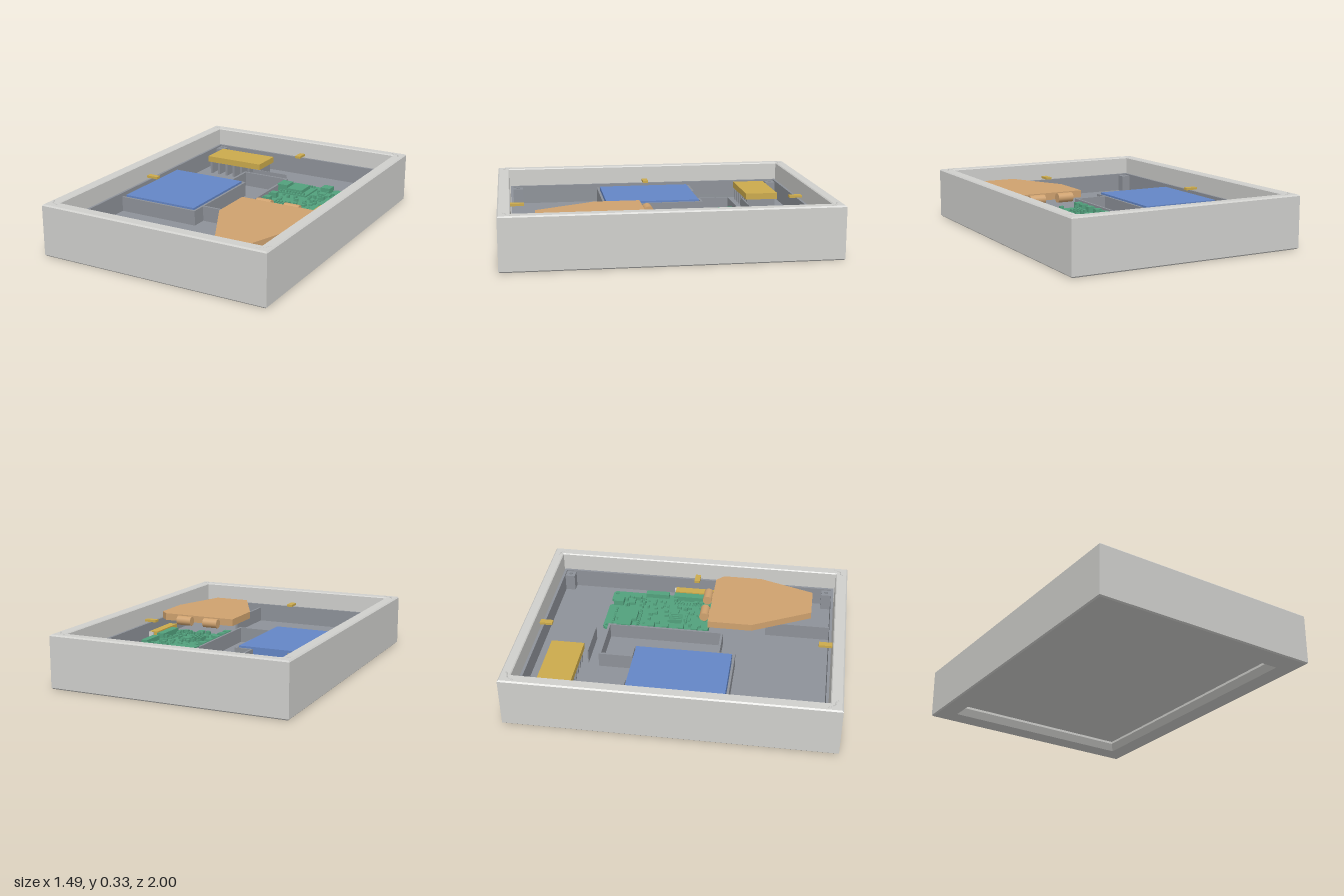
import * as THREE from 'three';

const mat = (name, color) => {
  const m = new THREE.MeshStandardMaterial({ color });
  m.name = name;
  return m;
};

export function createModel() {
  const model = new THREE.Group();
  const frameGrey = mat('frame light grey', 0xd0d0cd);
  const trayGrey = mat('tray grey', 0x8e9299);
  const blue = mat('battery blue', 0x6486c6);
  const yellow = mat('clip yellow', 0xcbaa4c);
  const tan = mat('sensor tan', 0xcfa26f);
  const green = mat('circuit green', 0x52a17d);

  const add = (name, geo, material, parent = model) => {
    const m = new THREE.Mesh(geo, material);
    m.name = name;
    parent.add(m);
    return m;
  };
  // Box given by its limits
  const box = (name, x0, x1, y0, y1, z0, z1, material, parent) =>
    add(name, new THREE.BoxGeometry(x1 - x0, y1 - y0, z1 - z0)
      .translate((x0 + x1) / 2, (y0 + y1) / 2, (z0 + z1) / 2), material, parent);
  // Flat plate from an x/z outline, hanging down from its top
  const plate = (name, pts, top, thick, material, parent, holes = []) => {
    const s = new THREE.Shape(pts.map(([x, z]) => new THREE.Vector2(x, z)));
    for (const [x, z, r] of holes) s.holes.push(new THREE.Path().absarc(x, z, r, 0, Math.PI * 2, true));
    const g = new THREE.ExtrudeGeometry(s, { depth: thick, bevelEnabled: false, curveSegments: 8 });
    return add(name, g.rotateX(Math.PI / 2).translate(0, top, 0), material, parent);
  };
  // Rectangular ring swept from a closed profile of [half width, back z, front z, y]
  const ring = (name, profile, material) => {
    const pos = [];
    const corners = ([w, b, f, y]) => [[-w, y, b], [w, y, b], [w, y, f], [-w, y, f]];
    profile.forEach((p, i) => {
      const a = corners(p), c = corners(profile[(i + 1) % profile.length]);
      for (let k = 0; k < 4; k++) {
        const n = (k + 1) % 4;
        pos.push(...a[k], ...c[k], ...c[n], ...a[k], ...c[n], ...a[n]);
      }
    });
    const g = new THREE.BufferGeometry();
    g.setAttribute('position', new THREE.Float32BufferAttribute(pos, 3));
    g.computeVertexNormals();
    return add(name, g, material);
  };

  // Outer frame with softened edges and an inward lip underneath
  ring('frame', [
    [0.737, -0.992, 0.992, 0], [0.745, -1, 1, 0.008], [0.745, -1, 1, 0.317], [0.737, -0.992, 0.992, 0.325],
    [0.681, -0.941, 0.931, 0.325], [0.675, -0.935, 0.925, 0.319], [0.675, -0.935, 0.925, 0.06],
    [0.6, -0.85, 0.835, 0.06], [0.6, -0.85, 0.835, 0.045], [0.622, -0.872, 0.855, 0],
  ], frameGrey);

  // Small raised curls on the frame corners
  for (const sx of [-1, 1]) for (const sz of [-1, 1]) {
    const curl = new THREE.CatmullRomCurve3([[0.655, 0.97], [0.675, 0.955], [0.7, 0.95], [0.715, 0.925], [0.725, 0.91]]
      .map(([x, z]) => new THREE.Vector3(sx * x, 0.325, sz * z)));
    add('cornerCurl', new THREE.TubeGeometry(curl, 12, 0.004, 5), frameGrey);
  }

  // Display panel seen through the opening, with its connector strip
  box('displayPanel', -0.66, 0.66, 0.06, 0.072, -0.92, 0.91, frameGrey);
  box('displayEdgeStrip', -0.6, -0.565, 0.055, 0.06, -0.85, 0.835, green);

  // Inner tray
  box('trayFloor', -0.668, 0.668, 0.072, 0.09, -0.928, 0.918, trayGrey);
  ring('trayWall', [
    [0.668, -0.928, 0.918, 0.08], [0.668, -0.928, 0.918, 0.21],
    [0.652, -0.912, 0.902, 0.21], [0.652, -0.912, 0.902, 0.08],
  ], trayGrey);
  for (const sx of [-1, 1]) for (const z of [-0.88, 0.87]) {
    const x = sx * 0.625, r = 0.032;
    plate('cornerBoss', [[x - r, z - r], [x + r, z - r], [x + r, z + r], [x - r, z + r]], 0.2, 0.11,
      trayGrey, model, [[x, z, 0.013]]);
  }

  // Thin standing ribs: [x0, z0, x1, z1]
  const ribs = [
    [-0.22, -0.505, 0.095, -0.505], [-0.22, -0.505, -0.22, -0.305], [-0.22, -0.305, -0.118, -0.305],
    [-0.118, -0.305, -0.118, 0.325], [-0.118, 0.225, 0.095, 0.225], [0.095, -0.505, 0.095, 0.225],
    [-0.652, 0.325, -0.118, 0.325], [-0.652, -0.305, -0.46, -0.305],
    [-0.2, -0.585, 0.05, -0.585], [0.25, 0.5, 0.25, 0.902],
  ];
  for (const [x0, z0, x1, z1] of ribs) {
    const t = z0 === -0.585 ? 0.003 : 0.007;
    box('trayRib', x0 - t, x1 + t, 0.085, 0.185, z0 - t, z1 + t, trayGrey);
  }
  for (const z of [-0.19, 0.21]) box('batteryStop', -0.652, -0.636, 0.085, 0.18, z - 0.015, z + 0.015, trayGrey);

  box('battery', -0.635, -0.13, 0.09, 0.195, -0.29, 0.312, blue);

  // Yellow module on a comb of supports
  box('yellowModule', -0.58, -0.17, 0.175, 0.215, -0.82, -0.612, yellow);
  for (let i = 0; i < 7; i++) {
    const x = -0.56 + i * 0.06;
    box('moduleSupport', x - 0.008, x + 0.008, 0.088, 0.176, -0.81, -0.622, trayGrey);
  }

  // Retaining clips at the middle of each side
  for (const z of [-0.897, 0.883]) box('clip', -0.019, 0.019, 0.22, 0.235, z - 0.042, z + 0.042, yellow);
  for (const x of [-0.636, 0.636]) box('clip', x - 0.04, x + 0.04, 0.22, 0.235, -0.018, 0.018, yellow);

  // Circuit board
  const board = new THREE.Group();
  board.name = 'circuitBoard';
  model.add(board);
  plate('boardBase', [[0.11, -0.54], [0.125, -0.555], [0.365, -0.555], [0.375, -0.53], [0.425, -0.53], [0.435, -0.555],
    [0.515, -0.555], [0.53, -0.54], [0.53, 0.13], [0.11, 0.13]], 0.148, 0.018, green, board,
    [[0.138, -0.53, 0.012], [0.503, -0.53, 0.012]]);
  const top = 0.147;
  const part = (name, x0, x1, z0, z1, h) => box(name, x0, x1, top, top + h, z0, z1, green, board);
  part('moduleBase', 0.125, 0.325, -0.505, -0.325, 0.012);
  part('moduleChip', 0.18, 0.285, -0.475, -0.345, 0.035);
  part('usbSocket', 0.095, 0.168, -0.46, -0.37, 0.045);
  part('smallSocket', 0.365, 0.43, -0.53, -0.465, 0.035);
  part('ribbonSocket', 0.483, 0.525, -0.33, -0.175, 0.03);
  part('displaySocket', 0.47, 0.52, -0.14, 0.06, 0.035);
  part('chipA', 0.29, 0.35, -0.13, -0.085, 0.02);
  part('chipB', 0.38, 0.43, -0.43, -0.39, 0.02);
  part('chipC', 0.44, 0.475, -0.4, -0.355, 0.025);
  part('chipD', 0.3, 0.34, 0.07, 0.12, 0.02);
  for (let i = 0; i < 9; i++) {
    const x = 0.143 + i * 0.0205;
    for (const z of [-0.495, -0.335]) part('modulePin', x - 0.005, x + 0.005, z - 0.006, z + 0.006, 0.025);
  }
  for (const z of [-0.24, -0.15, -0.05, 0.04, 0.11]) {
    part('button', 0.118, 0.162, z - 0.02, z + 0.02, 0.035);
    part('buttonTip', 0.105, 0.118, z - 0.01, z + 0.01, 0.025);
  }
  for (let i = 0; i < 4; i++) part('headerPin', 0.21 + i * 0.021, 0.219 + i * 0.021, -0.13, -0.055, 0.03);
  for (let i = 0; i < 10; i++) part('ribbonPin', 0.42, 0.45, -0.13 + i * 0.02, -0.122 + i * 0.02, 0.012);

  // Scattered tiny components
  let seed = 7;
  const rnd = () => (seed = (seed * 16807) % 2147483647) / 2147483647;
  for (let i = 0; i < 65; i++) {
    const x = 0.18 + rnd() * 0.28, z = -0.3 + rnd() * 0.4;
    const w = 0.005 + rnd() * 0.008, d = 0.005 + rnd() * 0.008;
    part('component', x - w, x + w, z - d, z + d, 0.01 + rnd() * 0.016);
  }
  for (let i = 0; i < 18; i++) {
    const x = 0.35 + rnd() * 0.12, z = -0.45 + rnd() * 0.17;
    part('component', x - 0.008, x + 0.008, z - 0.006, z + 0.006, 0.015 + rnd() * 0.012);
  }
  for (const x of [0.138, 0.503]) for (const z of [-0.5, 0.1])
    add('boardStandoff', new THREE.CylinderGeometry(0.016, 0.016, 0.045, 12).translate(x, 0.11, z), trayGrey, board);

  // Yellow edge connector beside the board
  box('edgeConnector', 0.518, 0.572, 0.15, 0.19, -0.135, 0.13, yellow);
  box('connectorTab', 0.545, 0.575, 0.15, 0.185, -0.145, -0.135, frameGrey);

  // Tan plate with two barrels on its back edge
  plate('tanPlate', [[0.11, 0.13], [0.6, 0.13], [0.65, 0.18], [0.65, 0.43], [0.53, 0.78], [0.3, 0.78], [0.11, 0.41]],
    0.255, 0.045, tan);
  for (const x of [0.247, 0.437]) {
    add('barrel', new THREE.CylinderGeometry(0.03, 0.03, 0.1, 20).rotateZ(Math.PI / 2).translate(x, 0.225, 0.095), tan);
    box('barrelMount', x - 0.03, x + 0.03, 0.215, 0.235, 0.1, 0.135, tan);
  }
  return model;
}
